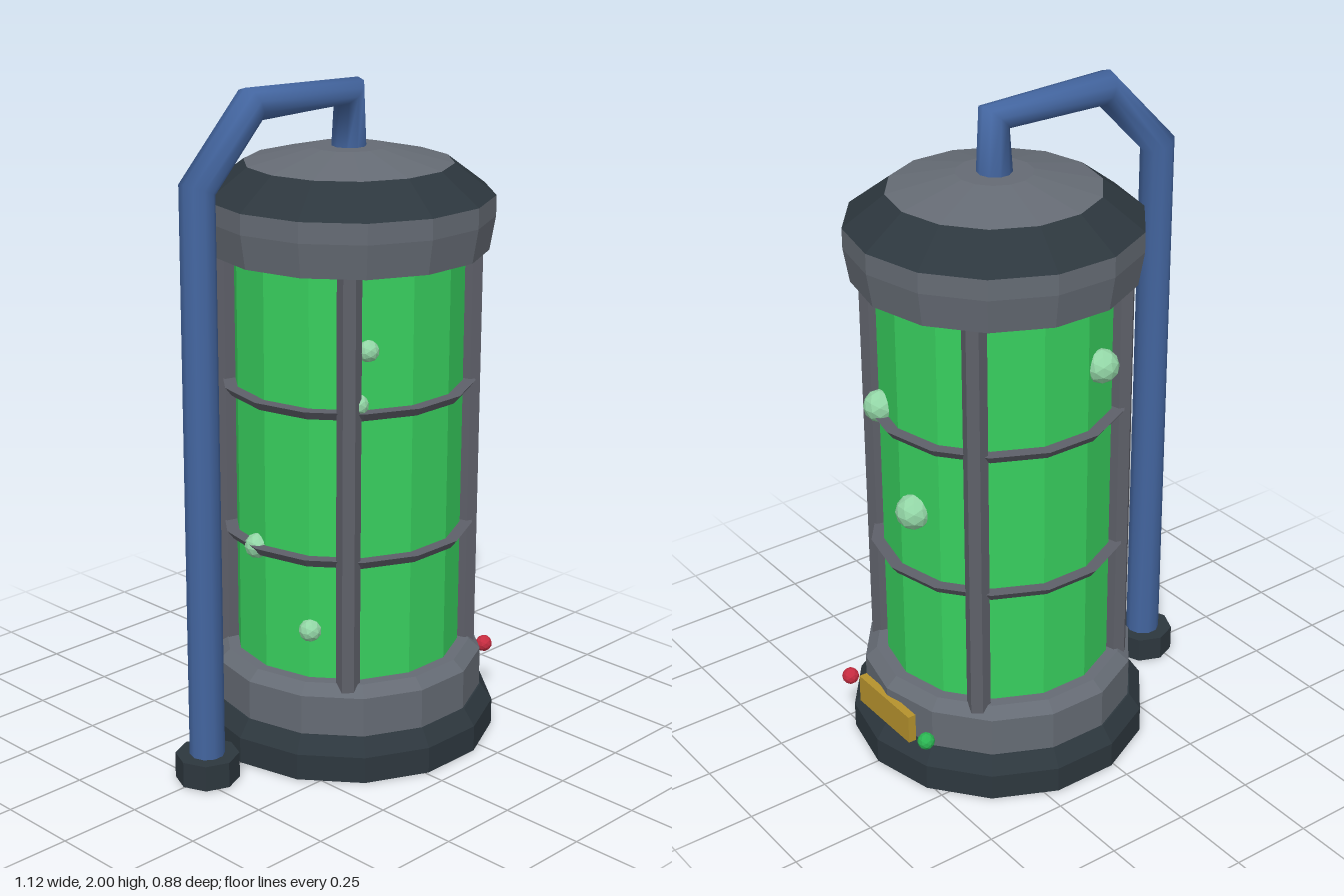
import * as THREE from 'three';

const SIDES = 14;
const CX = 0.11; // axis of the tank

const paint = (name, color, flatShading = true) => {
  const m = new THREE.MeshStandardMaterial({ color, flatShading });
  m.name = name;
  return m;
};

export function createModel() {
  const dark = paint('dark metal', 0x2d373e);
  const grey = paint('grey metal', 0x656b74);
  const barGrey = paint('cage grey', 0x5e6069);
  const blue = paint('pipe blue', 0x43659f, false);
  const green = paint('fluid green', 0x38cf5e);
  const pale = paint('bubble green', 0x93d6a6);
  const gold = paint('panel gold', 0xb5922d);
  const red = paint('button red', 0xc62c40);
  const lamp = paint('button green', 0x2bb552);

  const model = new THREE.Group();
  model.name = 'fluidTank';
  const add = (name, geo, mat, x = 0, y = 0, z = 0) => {
    const mesh = new THREE.Mesh(geo, mat);
    mesh.name = name;
    mesh.position.set(x, y, z);
    model.add(mesh);
    return mesh;
  };
  // Faceted turned part around the tank axis; profile runs bottom to top
  const turned = (name, profile, mat, y = 0) => add(name,
    new THREE.LatheGeometry(profile.map(([r, h]) => new THREE.Vector2(r, h)), SIDES, Math.PI / 2),
    mat, CX, y);

  // Tank body
  turned('base', [[0, 0], [0.45, 0], [0.45, 0.08], [0.415, 0.13], [0.3, 0.13]], dark);
  turned('lowerCollar', [[0.3, 0.125], [0.41, 0.125], [0.41, 0.25], [0.375, 0.28], [0.3, 0.28]], grey);
  turned('fluidCylinder', [[0.34, 0.27], [0.34, 1.51]], green);
  turned('upperCollar', [[0.3, 1.5], [0.408, 1.5], [0.425, 1.6], [0.425, 1.66], [0.3, 1.66]], grey);
  turned('capRim', [[0.425, 1.66], [0.305, 1.75]], dark);
  turned('lid', [[0.305, 1.75], [0.11, 1.795], [0, 1.795]], grey);

  // Cage: four upright bars and two hoops
  for (let i = 0; i < 4; i++) {
    const a = Math.PI / 4 + i * Math.PI / 2;
    const bar = add('cageBar', new THREE.CylinderGeometry(0.035, 0.035, 1.25, 6), barGrey,
      CX + 0.36 * Math.cos(a), 0.885, 0.36 * Math.sin(a));
    bar.rotation.y = -a;
  }
  for (const y of [0.65, 1.095]) {
    turned('cageHoop', [[0.335, -0.014], [0.358, -0.014], [0.378, 0.012], [0.335, 0.012], [0.335, -0.014]],
      barGrey, y);
  }

  // Pipe over the top, standing in a foot
  add('pipe', pipeGeometry([[-0.47, 0], [-0.47, 1.75], [-0.27, 1.955], [0.11, 1.95], [0.11, 1.77]], 0.052, 10), blue);
  add('pipeFoot', new THREE.CylinderGeometry(0.094, 0.094, 0.078, 8), dark, -0.47, 0.041, 0);

  // Bubbles against the glass: x, y, z, radius
  const bubbles = [
    [0.435, 1.125, 0.115, 0.048], [0.442, 0.86, -0.055, 0.053], [-0.02, 1.29, -0.32, 0.05],
    [-0.09, 1.28, 0.275, 0.032], [-0.115, 1.125, 0.26, 0.032], [-0.225, 0.65, -0.04, 0.038],
    [-0.195, 0.43, 0.15, 0.034],
  ];
  for (const [x, y, z, r] of bubbles) {
    add('bubble', new THREE.IcosahedronGeometry(r, 1), pale, x, y, z);
  }

  // Control panel with a button on each side
  add('controlPanel', new THREE.BoxGeometry(0.025, 0.09, 0.265), gold, 0.52, 0.18, 0);
  add('redButton', new THREE.IcosahedronGeometry(0.026, 1), red, 0.52, 0.18, 0.205);
  add('greenButton', new THREE.IcosahedronGeometry(0.026, 1), lamp, 0.52, 0.18, -0.205);

  return model;
}

// Capped tube along a path in the xy plane, one ring per bend
function pipeGeometry(path, radius, sides) {
  const pts = path.map(([x, y]) => new THREE.Vector2(x, y));
  const pos = [], index = [];
  const last = pts.length - 1;
  pts.forEach((p, i) => {
    const t = new THREE.Vector2();
    if (i > 0) t.add(p.clone().sub(pts[i - 1]).normalize());
    if (i < last) t.add(pts[i + 1].clone().sub(p).normalize());
    t.normalize();
    for (let k = 0; k < sides; k++) {
      const a = k / sides * Math.PI * 2;
      const u = radius * Math.cos(a);
      pos.push(p.x + t.y * u, p.y - t.x * u, radius * Math.sin(a));
    }
  });
  for (let i = 0; i < last; i++) {
    for (let k = 0; k < sides; k++) {
      const a = i * sides + k, b = i * sides + (k + 1) % sides;
      index.push(a, a + sides, b, b, a + sides, b + sides);
    }
  }
  // Bottom cap on its own vertices, to keep the rim sharp
  const start = pos.length / 3;
  pos.push(...pos.slice(0, sides * 3));
  for (let k = 1; k < sides - 1; k++) index.push(start, start + k, start + k + 1);

  const geo = new THREE.BufferGeometry();
  geo.setAttribute('position', new THREE.Float32BufferAttribute(pos, 3));
  geo.setIndex(index);
  geo.computeVertexNormals();
  return geo;
}
